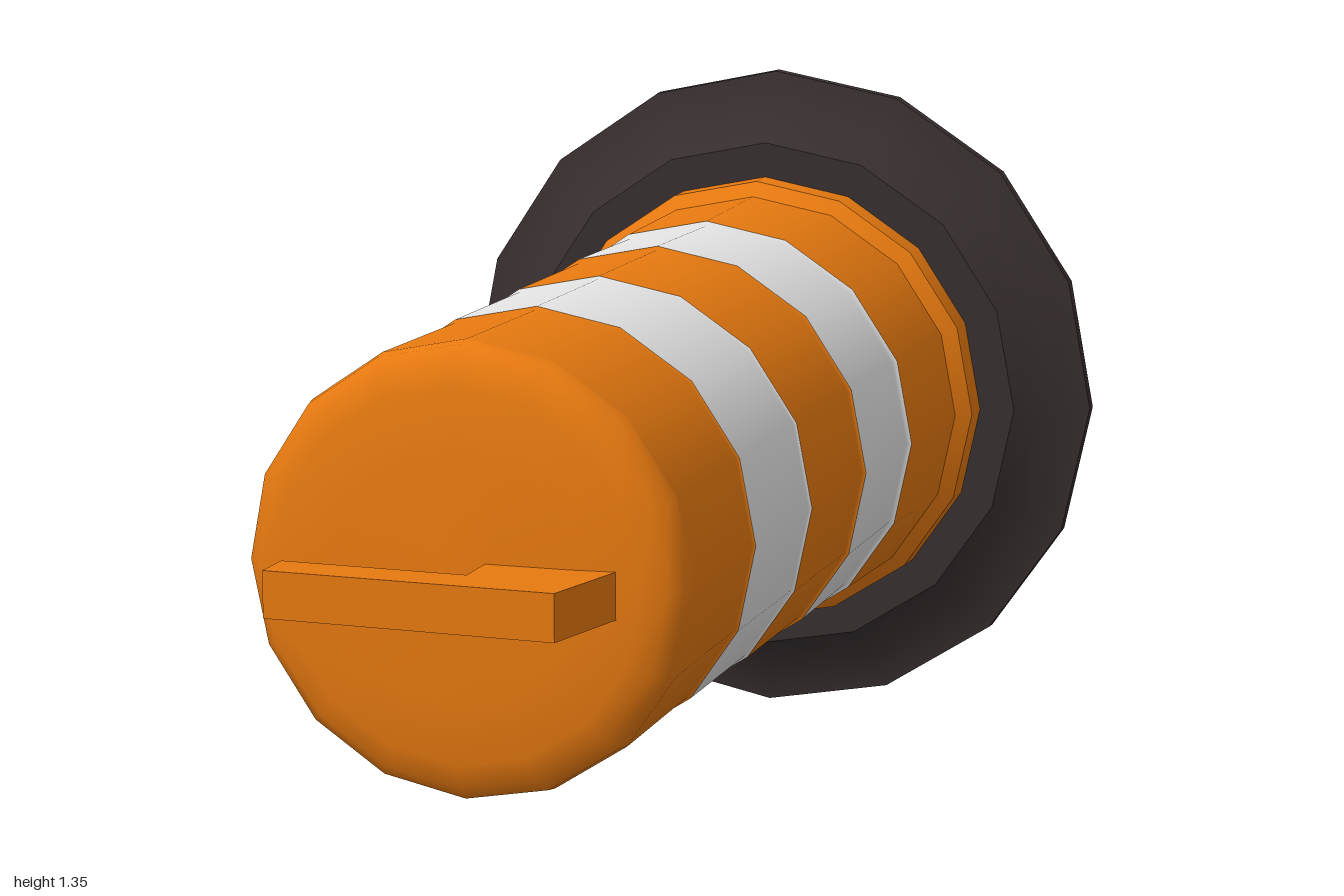
import * as THREE from 'three';

const SIDES = 16;
const AXIS_Y = 0.674;

function material(name, color) {
  const m = new THREE.MeshStandardMaterial({ color, side: THREE.DoubleSide });
  m.name = name;
  return m;
}

// Lathe shell around the z axis; profile is [radius, z] from back to front
function shell(name, profile, mat) {
  const pts = profile.map(([r, z]) => new THREE.Vector2(r, z));
  const geo = new THREE.LatheGeometry(pts, SIDES);
  geo.rotateX(Math.PI / 2);
  const mesh = new THREE.Mesh(geo, mat);
  mesh.name = name;
  mesh.position.y = AXIS_Y;
  return mesh;
}

export function createModel() {
  const orange = material('orange plastic', 0xe87a10);
  const white = material('reflective white', 0xe4e4e4);
  const black = material('black rubber', 0x372e2f);

  const model = new THREE.Group();
  model.name = 'trafficBarrel';

  // Rubber base ring: back face, rim and stepped upper side
  const base = new THREE.Group();
  base.name = 'baseRing';
  base.add(
    shell('baseUnderside', [[0.45, -1], [0.674, -1]], black),
    shell('baseRim', [[0.674, -1], [0.672, -0.975]], black),
    shell('baseSlope', [[0.672, -0.975], [0.6, -0.96], [0.53, -0.9]], black),
    shell('baseTop', [[0.53, -0.9], [0.45, -0.9]], black)
  );
  model.add(base);

  // Hollow tapering body, each band with a small step
  const body = new THREE.Group();
  body.name = 'body';
  body.add(
    shell('footCollar', [[0.46, -0.998], [0.46, -0.9], [0.457, -0.835]], orange),
    shell('collarStep', [[0.457, -0.835], [0.428, -0.81]], orange),
    shell('lowerBand', [[0.428, -0.81], [0.413, -0.485]], orange),
    shell('lowerStripe', [[0.413, -0.485], [0.404, -0.48], [0.4, -0.175]], white),
    shell('middleBand', [[0.4, -0.175], [0.393, -0.172], [0.386, 0.155]], orange),
    shell('upperStripe', [[0.386, 0.155], [0.381, 0.158], [0.375, 0.467]], white),
    shell('upperBand', [[0.375, 0.467], [0.37, 0.47], [0.367, 0.78]], orange),
    shell('topCap', [[0.367, 0.78], [0.362, 0.805], [0.34, 0.825], [0.3, 0.838], [0.2, 0.85], [0, 0.856]], orange)
  );
  model.add(body);

  // Hooked carrying handle, drawn in x and z and extruded along y
  const outline = [[-0.25, 1], [-0.25, 0.93], [0.055, 0.93], [0.055, 0.83], [0.265, 0.83], [0.22, 1]];
  const shape = new THREE.Shape(outline.map(([x, z]) => new THREE.Vector2(x, z)));
  const handleGeo = new THREE.ExtrudeGeometry(shape, { depth: 0.075, bevelEnabled: false });
  handleGeo.rotateX(Math.PI / 2);
  const handle = new THREE.Mesh(handleGeo, orange);
  handle.name = 'handle';
  handle.position.y = 0.706;
  model.add(handle);

  return model;
}
